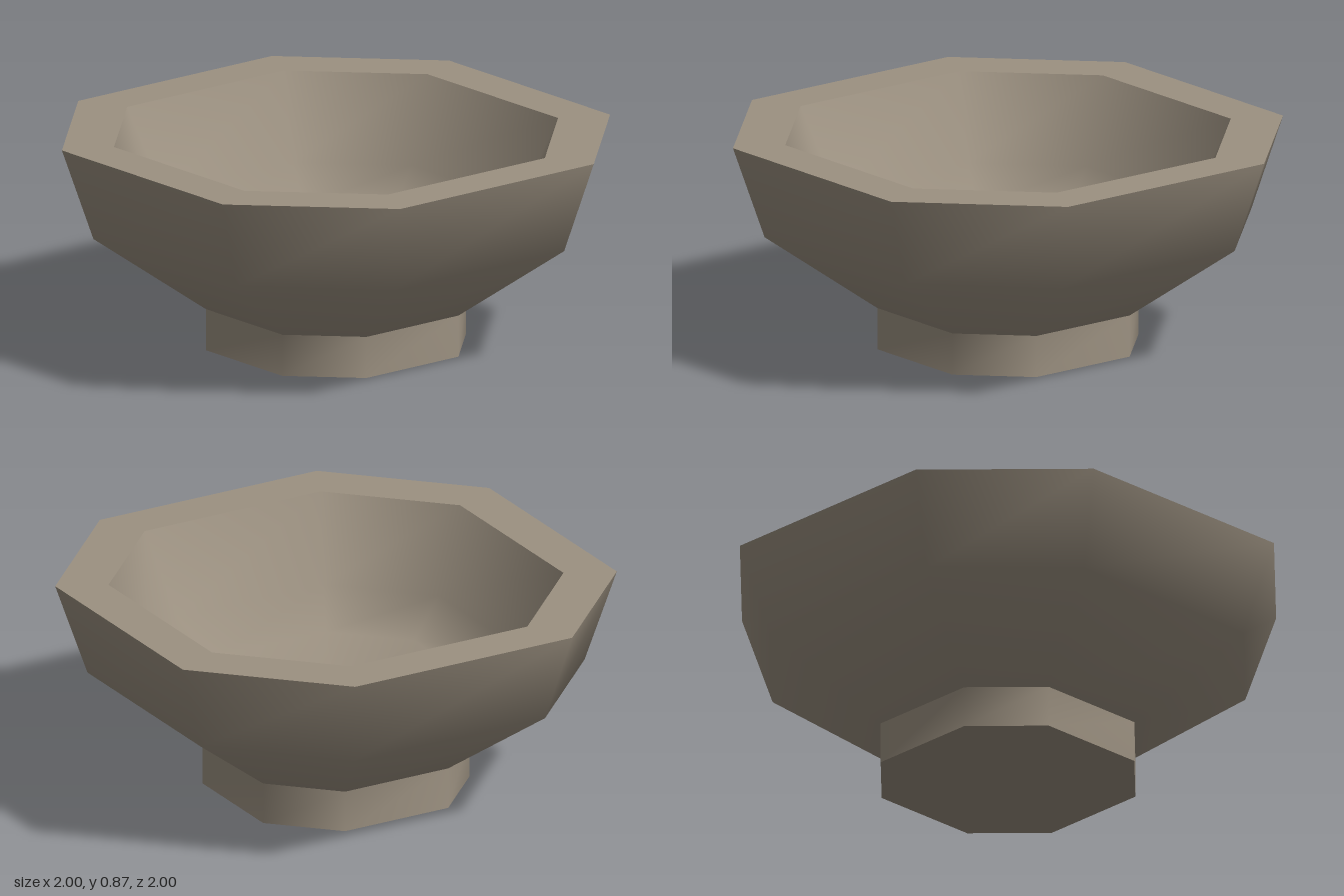
import * as THREE from 'three';

// Octagon with chamfered corners, as [x, z] for a half width of 1
const OCTAGON = [[1, 0.5], [0.5, 1], [-0.5, 1], [-1, 0.5], [-1, -0.5], [-0.5, -1], [0.5, -1], [1, -0.5]];

// Smooth surface through octagonal rings, each ring given as [half width, height]
function loft(rings) {
  const n = OCTAGON.length, positions = [], index = [];
  for (const [r, y] of rings) {
    for (const [x, z] of OCTAGON) positions.push(x * r, y, z * r);
  }
  for (let k = 0; k < rings.length - 1; k++) {
    for (let i = 0; i < n; i++) {
      const j = (i + 1) % n;
      const a = k * n + i, b = k * n + j, c = a + n, d = b + n;
      if (rings[k][0] > 0) index.push(a, c, b);
      if (rings[k + 1][0] > 0) index.push(b, c, d);
    }
  }
  const geometry = new THREE.BufferGeometry();
  geometry.setAttribute('position', new THREE.Float32BufferAttribute(positions, 3));
  geometry.setIndex(index);
  geometry.computeVertexNormals();
  return geometry;
}

export function createModel() {
  const model = new THREE.Group();
  model.name = 'bowl';
  const clay = new THREE.MeshStandardMaterial({ color: 0x9c9181 });
  clay.name = 'taupe clay';

  // Separate pieces keep the edges between them sharp
  const parts = {
    footBase: [[0, 0], [0.475, 0]],
    footWall: [[0.475, 0], [0.475, 0.17]],
    outerWall: [[0.475, 0.17], [0.885, 0.49], [1, 0.865]],
    rim: [[1, 0.865], [0.81, 0.865]],
    innerBasin: [[0.81, 0.865], [0.67, 0.53], [0.51, 0.4], [0, 0.36]],
  };
  for (const [name, rings] of Object.entries(parts)) {
    const mesh = new THREE.Mesh(loft(rings), clay);
    mesh.name = name;
    model.add(mesh);
  }
  return model;
}
